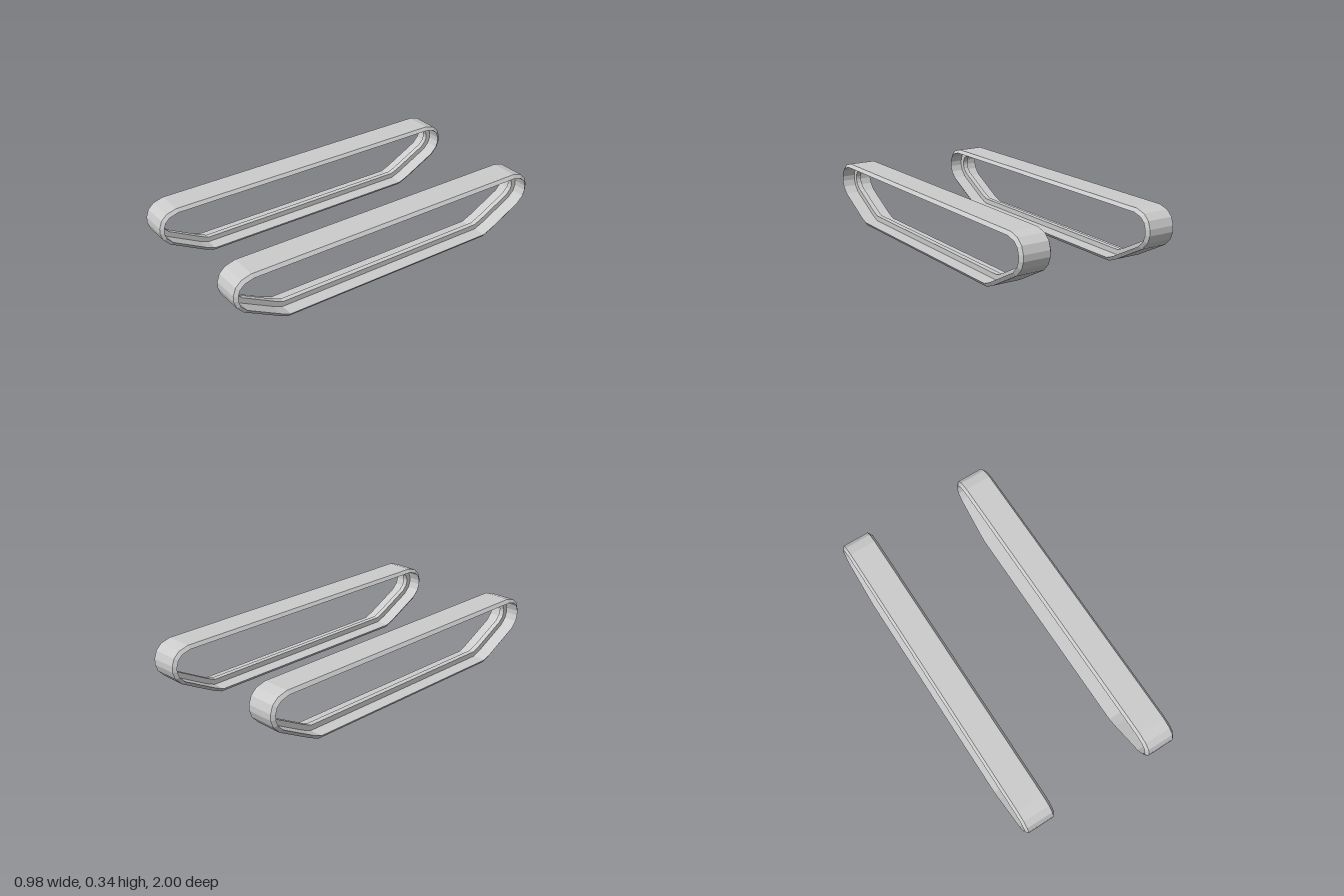
import * as THREE from 'three';

// Front half of the track's outer outline as [z, y], from the top down to the ground
const FRONT = [
  [0.89, 0.345], [0.95, 0.328], [0.985, 0.296], [1, 0.252], [1, 0.217],
  [0.985, 0.175], [0.945, 0.133], [0.74, 0.025], [0.68, 0],
];
const OUTLINE = [...FRONT, ...FRONT.map(([z, y]) => [-z, y]).reverse()];

// Cross-sections as [x, depth inward from the outline]
const BAND = [[-0.08, 0], [0.08, 0], [0.095, 0.02], [-0.095, 0.02]];
const RIDGE = [[-0.015, 0.019], [0.015, 0.019], [0.015, 0.05], [-0.015, 0.05]];

// Mitred inward direction at each outline corner
function inwardMiters(points) {
  const n = points.length;
  const normals = points.map(([z, y], i) => {
    const [z2, y2] = points[(i + 1) % n];
    return new THREE.Vector2(y2 - y, z - z2).normalize();
  });
  return normals.map((b, i) => {
    const a = normals[(i + n - 1) % n];
    return a.clone().add(b).divideScalar(1 + a.dot(b));
  });
}

// Sweep a closed cross-section around the closed outline
function sweep(section) {
  const miters = inwardMiters(OUTLINE);
  const n = OUTLINE.length, m = section.length;
  const positions = [], index = [];
  OUTLINE.forEach(([z, y], i) => {
    for (const [x, d] of section) {
      positions.push(x, y + miters[i].y * d, z + miters[i].x * d);
    }
    for (let j = 0; j < m; j++) {
      const i2 = (i + 1) % n, j2 = (j + 1) % m;
      const a = i * m + j, b = i2 * m + j, c = i2 * m + j2, e = i * m + j2;
      index.push(a, b, c, a, c, e);
    }
  });
  const geometry = new THREE.BufferGeometry();
  geometry.setAttribute('position', new THREE.Float32BufferAttribute(positions, 3));
  geometry.setIndex(index);
  const flat = geometry.toNonIndexed();
  flat.computeVertexNormals();
  return flat;
}

export function createModel() {
  const model = new THREE.Group();
  model.name = 'trackPair';
  const material = new THREE.MeshStandardMaterial({ color: 0xcccccc, flatShading: true });
  const parts = { band: sweep(BAND), guideRidge: sweep(RIDGE) };

  // One track on each side: bevelled band with a guide ridge along its inside
  for (const [name, side] of [['leftTrack', 1], ['rightTrack', -1]]) {
    const track = new THREE.Group();
    track.name = name;
    track.position.x = side * 0.396;
    for (const [part, geometry] of Object.entries(parts)) {
      const mesh = new THREE.Mesh(geometry, material);
      mesh.name = part;
      track.add(mesh);
    }
    model.add(track);
  }
  return model;
}
